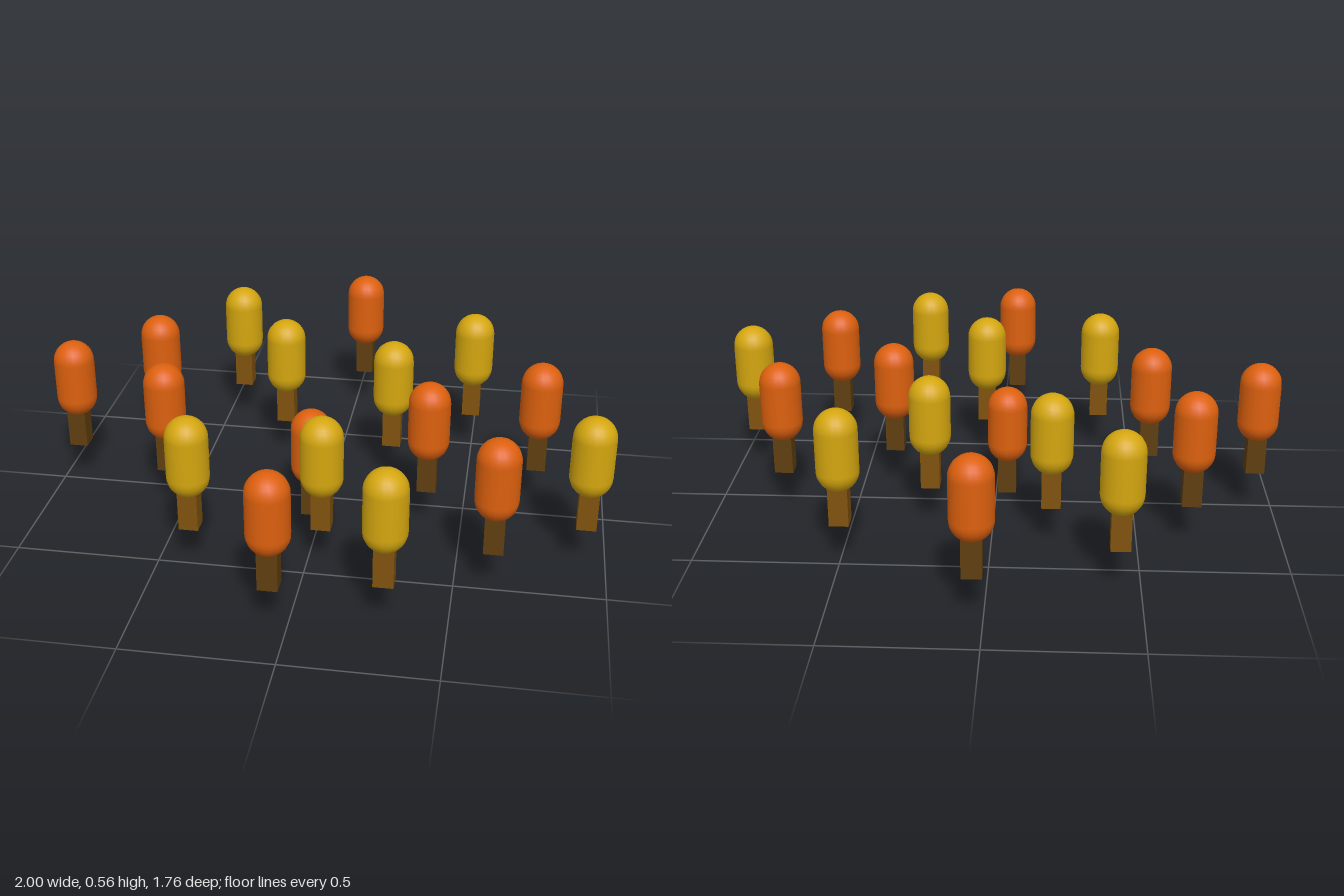
import * as THREE from 'three';

const mat = (name, color) => {
  const m = new THREE.MeshStandardMaterial({ color });
  m.name = name;
  return m;
};

export function createModel() {
  const group = new THREE.Group();
  group.name = 'autumnGrove';

  const kinds = {
    orange: { leaf: mat('orange leaves', 0xdc600e), bark: mat('dark bark', 0x5e3e10) },
    yellow: { leaf: mat('yellow leaves', 0xd4a60f), bark: mat('light bark', 0x80520f) },
  };

  // Shared tree parts: a pill-shaped crown on a square trunk
  const R = 0.072;
  const crownGeo = new THREE.CapsuleGeometry(R, 0.142, 8, 20);
  const trunkGeo = new THREE.BoxGeometry(0.066, 0.18, 0.066);

  function addTree(kind, x, z, y) {
    const tree = new THREE.Group();
    tree.name = kind + 'Tree';
    const trunk = new THREE.Mesh(trunkGeo, kinds[kind].bark);
    trunk.name = 'trunk';
    trunk.position.y = 0.09;
    const crown = new THREE.Mesh(crownGeo, kinds[kind].leaf);
    crown.name = 'crown';
    crown.position.y = 0.262;
    tree.add(trunk, crown);
    tree.position.set(x, y, z);
    group.add(tree);
  }

  // Tree positions [x, z]; the trees stand at the upper ground level
  const upper = 0.15;
  const spots = {
    orange: [[0.035, -0.81], [-0.68, -0.29], [0.75, -0.085], [-0.928, -0.015],
      [-0.557, 0.12], [0.375, 0.127], [0.625, 0.49], [-0.055, 0.803]],
    yellow: [[-0.428, -0.615], [0.492, -0.485], [-0.204, -0.325], [0.217, -0.187],
      [0.924, 0.295], [-0.382, 0.497], [0.052, 0.432], [0.296, 0.73]],
  };
  for (const kind of Object.keys(spots)) {
    for (const [x, z] of spots[kind]) addTree(kind, x, z, upper);
  }

  // One tree in the middle stands lower
  addTree('orange', -0.04, 0.097, 0);
  return group;
}
